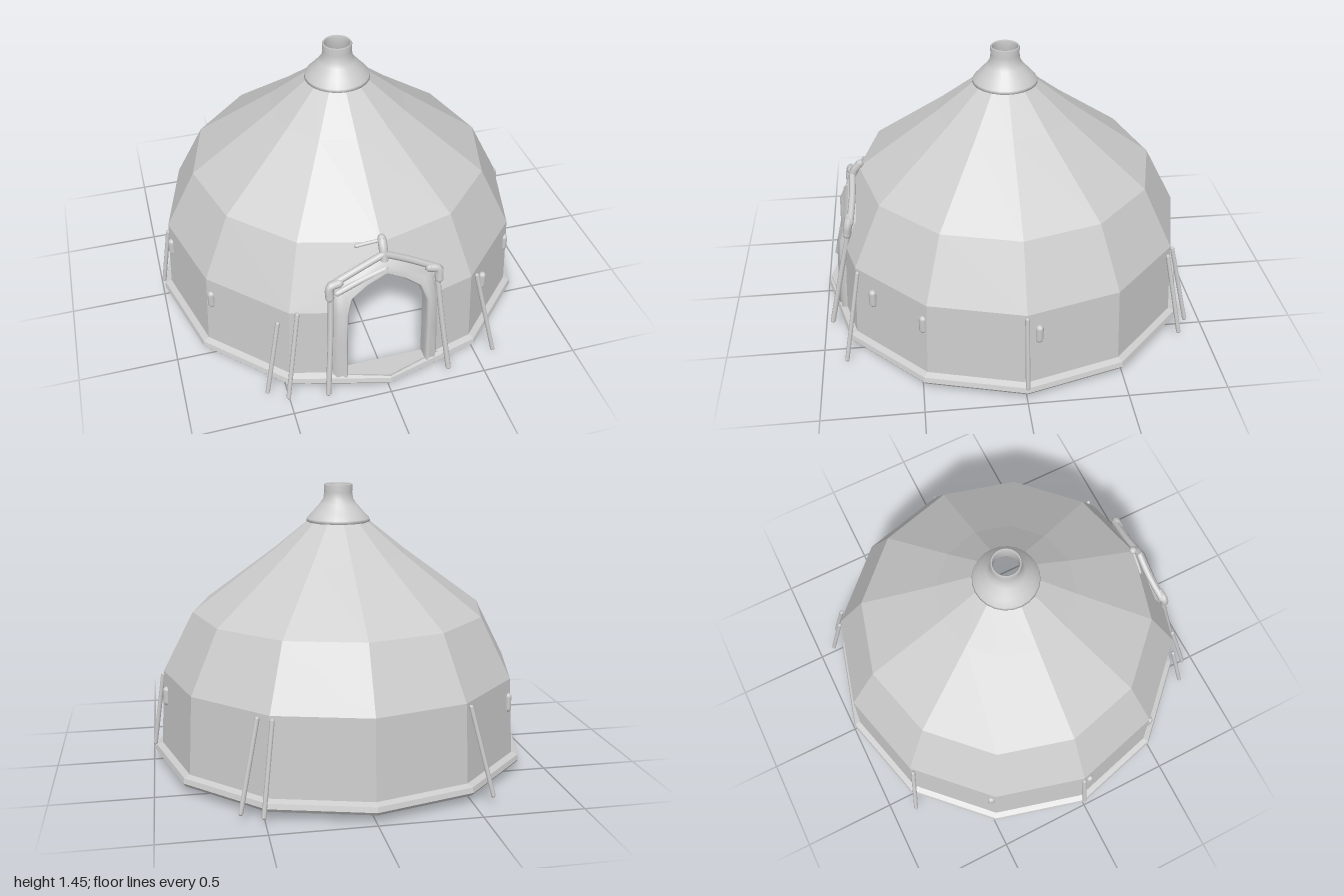
import * as THREE from 'three';

const SIDES = 12;
const flat = new THREE.MeshStandardMaterial({ color: 0xcccccc, flatShading: true, side: THREE.DoubleSide });
const smooth = new THREE.MeshStandardMaterial({ color: 0xcccccc, side: THREE.DoubleSide });
const V = (x, y, z) => new THREE.Vector3(x, y, z);
const pts2 = (list) => list.map(([x, y]) => new THREE.Vector2(x, y));

// Corner radius of the canvas at a given height
const WALL = [[0.955, 0.06], [0.93, 0.49], [0.77, 0.8]];
function radiusAt(y) {
  const [a, b] = y < 0.49 ? [WALL[0], WALL[1]] : [WALL[1], WALL[2]];
  return a[0] + (b[0] - a[0]) * (y - a[1]) / (b[1] - a[1]);
}
// Depth of the two front panels, which meet on a ridge at x = 0
const frontZ = (x, y) => radiusAt(y) - Math.abs(x) * Math.tan(Math.PI / SIDES);

// Right half of the doorway: inner edge and outer edge of the canvas trim
const DOOR = [[0.2, 0.08], [0.2, 0.3], [0.195, 0.49], [0.165, 0.56], [0.09, 0.62], [0, 0.67]];
const TRIM = [[0.275, 0.08], [0.27, 0.3], [0.26, 0.5], [0.25, 0.625], [0.13, 0.69], [0, 0.75]];
const wholeArch = (half) => [...half, ...half.slice(0, -1).reverse().map(([x, y]) => [-x, y])];

export function createModel() {
  const model = new THREE.Group();
  const add = (name, geometry, material = smooth) => {
    const mesh = new THREE.Mesh(geometry, material);
    mesh.name = name;
    model.add(mesh);
    return mesh;
  };
  const tube = (name, points, r, n = 8) => {
    add(name, new THREE.TubeGeometry(new THREE.CatmullRomCurve3(points), n, r, 7));
    for (const p of [points[0], points[points.length - 1]]) {
      add(name + 'End', new THREE.SphereGeometry(r, 7, 5)).position.copy(p);
    }
  };

  // Canvas: ten closed wall panels and the full roof
  const step = Math.PI * 2 / SIDES;
  add('walls', new THREE.LatheGeometry(pts2(WALL), SIDES - 2, step, step * (SIDES - 2)), flat);
  add('roof', new THREE.LatheGeometry(pts2([[0.77, 0.8], [0.355, 1.105], [0.15, 1.27]]), SIDES), flat);

  // Front panels, cut around the doorway
  const lower = [[0.2, 0.06], [0.4775, 0.06], [0.465, 0.49], [0.195, 0.49], [0.2, 0.3]];
  const upper = [[0.195, 0.49], [0.465, 0.49], [0.385, 0.8], [0, 0.8], [0, 0.67], [0.09, 0.62], [0.165, 0.56]];
  for (const s of [1, -1]) {
    for (const outline of [lower, upper]) {
      const g = new THREE.ShapeGeometry(new THREE.Shape(pts2(outline.map(([x, y]) => [s * x, y]))));
      const p = g.attributes.position;
      for (let i = 0; i < p.count; i++) p.setZ(i, frontZ(p.getX(i), p.getY(i)));
      g.computeVertexNormals();
      add('frontPanel', g, flat);
    }
  }

  // Rolled hem around the foot
  add('hem', new THREE.LatheGeometry(pts2([
    [0.935, 0.05], [0.98, 0.043], [0.992, 0.06], [0.985, 0.085], [0.955, 0.097], [0.935, 0.09], [0.935, 0.05],
  ]), SIDES), flat);

  // Door sill, a lens-shaped pad
  const sill = new THREE.ExtrudeGeometry(new THREE.Shape(pts2([
    [-0.28, -0.89], [-0.2, -0.86], [0.2, -0.86], [0.28, -0.89], [0, -0.975],
  ])), { depth: 0.05, bevelEnabled: false });
  sill.rotateX(-Math.PI / 2);
  sill.translate(0, 0.05, 0);
  add('doorSill', sill, flat);

  // Door trim: a padded band lofted from the outer arch to the inner one
  const outer = wholeArch(TRIM), inner = wholeArch(DOOR);
  const section = [[0, 0.002], [0.25, 0.028], [0.6, 0.02], [0.85, 0.03], [1, 0.01], [1, -0.045]];
  const pos = [], index = [], n = section.length;
  outer.forEach(([ox, oy], i) => {
    const [ix, iy] = inner[i];
    section.forEach(([t, lift], j) => {
      const x = ox + (ix - ox) * t, y = oy + (iy - oy) * t;
      pos.push(x, y, frontZ(x, y) + lift);
      if (i && j) {
        const a = (i - 1) * n + j - 1, b = i * n + j - 1;
        index.push(a, b, b + 1, a, b + 1, a + 1);
      }
    });
  });
  const trim = new THREE.BufferGeometry();
  trim.setAttribute('position', new THREE.Float32BufferAttribute(pos, 3));
  trim.setIndex(index);
  trim.computeVertexNormals();
  add('doorTrim', trim);

  // Canopy edges, corner ties and poles beside the door
  for (const s of [1, -1]) {
    const y = s > 0 ? 0.625 : 0.64;
    const corner = V(s * 0.265, y, 0.825);
    tube('canopyEdge', [V(0, 0.76, 0.808), V(s * 0.12, 0.7, 0.81), corner], 0.018);
    tube('cornerTie', [V(s * 0.225, y + 0.01, 0.83), V(s * 0.27, y, 0.835), V(s * 0.275, y - 0.06, 0.845)], 0.022);
    tube('doorPole', [corner, V(s * 0.285, 0.35, 0.89), V(s * 0.315, 0.045, 0.96)], 0.014);
  }

  // Ridge toggle over the door, with a fold of canvas beside it
  tube('ridgeToggle', [V(0, 0.82, 0.765), V(0, 0.78, 0.795), V(0, 0.72, 0.815)], 0.022);
  tube('ridgeFold', [V(0, 0.81, 0.765), V(-0.06, 0.8, 0.758), V(-0.12, 0.785, 0.748)], 0.009);
  tube('doorFold', [V(-0.24, 0.6, 0.845), V(-0.12, 0.645, 0.835), V(0, 0.69, 0.835)], 0.016);

  // Guy poles: top point to foot point
  const poles = [
    [-0.52, 0.42, 0.79, -0.6, 0.035, 0.86], [-0.43, 0.49, 0.825, -0.51, 0.045, 0.93],
    [0.5, 0.48, 0.795, 0.595, 0.012, 0.88],
    [-0.49, 0.47, -0.8, -0.59, 0.045, -0.87],
    [0.455, 0.47, -0.82, 0.51, 0.045, -0.91], [0.52, 0.47, -0.78, 0.61, 0.045, -0.85],
    [0.935, 0.47, 0, 0.99, 0.095, 0], [-0.935, 0.44, 0, -0.99, 0.11, 0],
  ];
  for (const [x, y, z, fx, fy, fz] of poles) {
    tube('guyPole', [V(x, y, z), V((x + fx) / 2, (y + fy) / 2, (z + fz) / 2), V(fx, fy, fz)], 0.0115);
  }

  // Small loops sewn to the wall
  for (const [x, z] of [[0.79, 0.485], [-0.79, 0.485], [0.565, 0.725], [0.92, -0.06], [-0.79, -0.485], [-0.925, 0.04]]) {
    const loop = add('wallLoop', new THREE.CapsuleGeometry(0.02, 0.06, 4, 8));
    loop.position.set(x, 0.37, z);
  }

  // Smoke collar and open vent pipe
  add('smokeVent', new THREE.LatheGeometry(pts2([
    [0.15, 1.25], [0.167, 1.26], [0.163, 1.275], [0.135, 1.305], [0.095, 1.35], [0.078, 1.375],
    [0.073, 1.41], [0.075, 1.445], [0.07, 1.452], [0.064, 1.445], [0.064, 1.38], [0.09, 1.33], [0.14, 1.26],
  ]), 24));

  return model;
}
